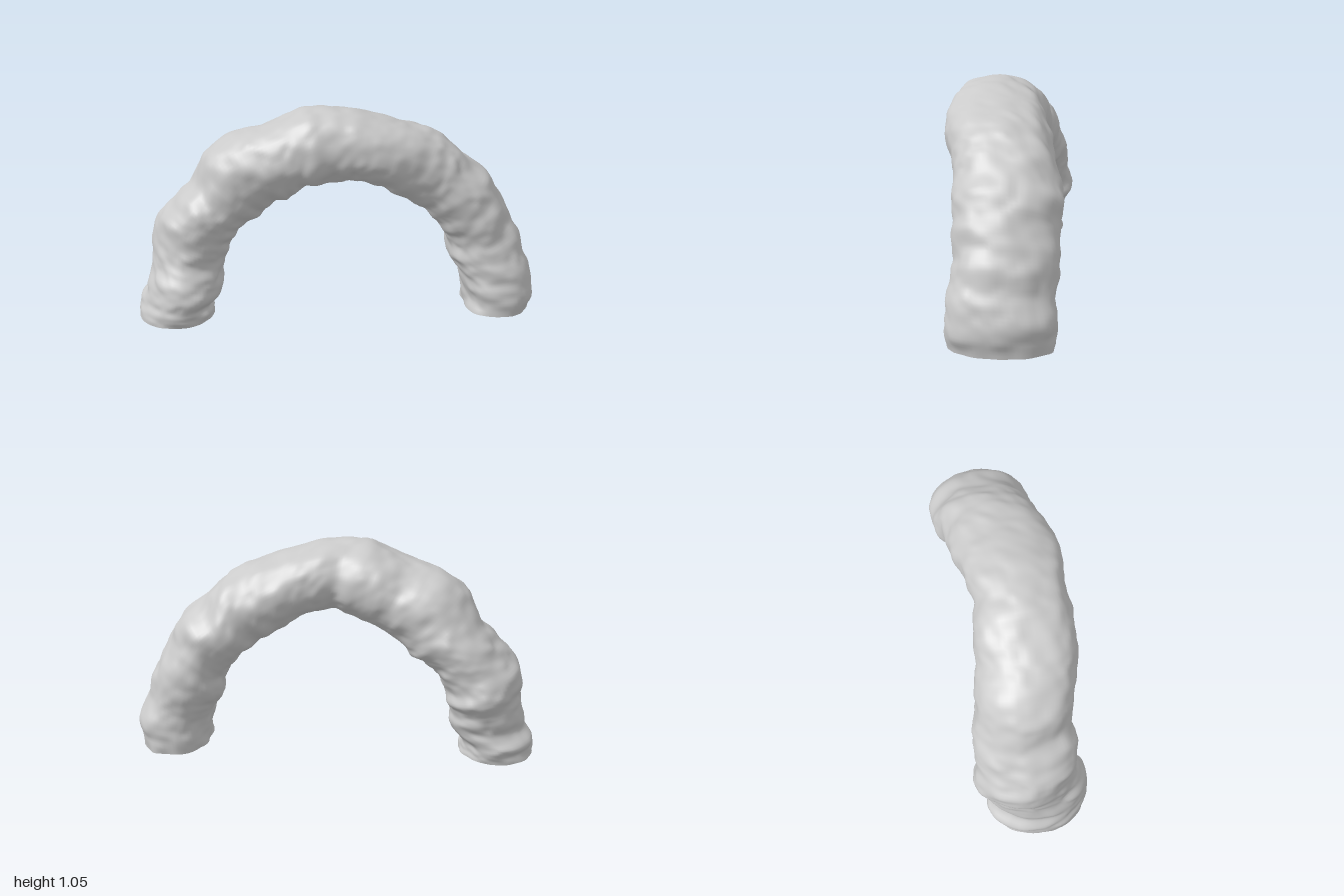
import * as THREE from 'three';

// Stations along the arch: outer x, outer y, inner x, inner y, back z, front z
const STATIONS = [
  [-1.0, 0, -0.635, 0, -0.24, 0.24],
  [-0.985, 0.08, -0.63, 0.06, -0.255, 0.255],
  [-0.95, 0.17, -0.585, 0.14, -0.25, 0.26],
  [-0.93, 0.28, -0.575, 0.21, -0.27, 0.225],
  [-0.92, 0.38, -0.565, 0.28, -0.305, 0.19],
  [-0.885, 0.5, -0.53, 0.36, -0.29, 0.205],
  [-0.8, 0.59, -0.49, 0.43, -0.29, 0.21],
  [-0.71, 0.7, -0.42, 0.48, -0.275, 0.21],
  [-0.635, 0.83, -0.35, 0.54, -0.25, 0.215],
  [-0.49, 0.92, -0.27, 0.595, -0.225, 0.26],
  [-0.35, 0.965, -0.19, 0.645, -0.2, 0.28],
  [-0.21, 1.03, -0.1, 0.675, -0.185, 0.29],
  [-0.05, 1.045, 0, 0.7, -0.16, 0.275],
  [0.11, 1.025, 0.09, 0.69, -0.18, 0.295],
  [0.26, 0.985, 0.18, 0.665, -0.2, 0.295],
  [0.41, 0.935, 0.27, 0.61, -0.22, 0.26],
  [0.54, 0.88, 0.36, 0.56, -0.235, 0.24],
  [0.63, 0.785, 0.43, 0.51, -0.27, 0.23],
  [0.76, 0.675, 0.5, 0.44, -0.265, 0.23],
  [0.83, 0.55, 0.55, 0.36, -0.255, 0.22],
  [0.905, 0.41, 0.57, 0.27, -0.26, 0.215],
  [0.955, 0.27, 0.61, 0.19, -0.25, 0.235],
  [0.995, 0.13, 0.64, 0.1, -0.255, 0.24],
  [0.98, 0, 0.65, 0, -0.24, 0.235],
];
// Corner roundness from foot to foot: outer front, outer back, inner front, inner back
// (1 is an ellipse, less is boxier, more is chamfered)
const CORNERS = [
  [1.05, 1.0, 0.92, 1.1],
  [0.95, 1.15, 0.95, 0.95],
  [0.82, 0.97, 0.9, 0.9],
  [0.95, 1.05, 0.85, 0.9],
  [0.95, 0.85, 0.8, 0.93],
];
const RINGS = 200;
const SIDES = 72;
const { lerp, smoothstep } = THREE.MathUtils;

// Seeded lattice hash and smooth value noise in -1..1
function hash(x, y, z) {
  let h = Math.imul(x, 374761393) ^ Math.imul(y, 668265263) ^ Math.imul(z, 2147483587);
  h = Math.imul(h ^ (h >>> 13), 1274126177);
  return ((h ^ (h >>> 16)) >>> 0) / 2147483648 - 1;
}
function noise(x, y, z) {
  const [i, j, k] = [x, y, z].map(Math.floor);
  const [u, v, w] = [x - i, y - j, z - k].map((f) => f * f * (3 - 2 * f));
  const row = (b, c) => lerp(hash(i, b, c), hash(i + 1, b, c), u);
  const layer = (c) => lerp(row(j, c), row(j + 1, c), v);
  return lerp(layer(k), layer(k + 1), w);
}

// Smooth curve through two columns of a table
function column(table, a, b) {
  return new THREE.CatmullRomCurve3(
    table.map((s) => new THREE.Vector3(s[a], s[b], 0)), false, 'catmullrom', 0.5);
}

// Rounded cross-sections, roughened by ridges running around the body
function buildRings() {
  const outer = column(STATIONS, 0, 1), inner = column(STATIONS, 2, 3), depth = column(STATIONS, 4, 5);
  const outerCorner = column(CORNERS, 0, 1), innerCorner = column(CORNERS, 2, 3);
  const power = (v, e) => Math.sign(v) * Math.pow(Math.abs(v), e);
  const rings = [];
  for (let i = 0; i <= RINGS; i++) {
    const t = i / RINGS;
    const o = outer.getPoint(t), n = inner.getPoint(t), d = depth.getPoint(t);
    const oc = outerCorner.getPoint(t), ic = innerCorner.getPoint(t);
    const centre = o.clone().add(n).multiplyScalar(0.5).setZ((d.x + d.y) / 2);
    const half = o.clone().sub(n).multiplyScalar(0.5);
    const unit = half.clone().normalize();
    const halfDepth = (d.y - d.x) / 2;
    const ring = [];
    for (let j = 0; j < SIDES; j++) {
      const a = (j / SIDES) * Math.PI * 2;
      const c = Math.cos(a), s = Math.sin(a);
      const front = smoothstep(s, -0.5, 0.5);
      const e = lerp(lerp(ic.y, ic.x, front), lerp(oc.y, oc.x, front), smoothstep(c, -0.5, 0.5));
      const bump = 0.012 * noise(t * 40 + 5, c * 0.9 + 9.5, s * 0.9 + 4.5)
        + 0.01 * noise(t * 45 + 31, c * 2.6 + 17, s * 2.6 + 12)
        + 0.004 * noise(t * 80 + 3, c * 5 + 40, s * 5 + 30);
      const p = centre.clone().addScaledVector(half, power(c, e)).addScaledVector(unit, c * bump);
      p.z += halfDepth * power(s, e) + s * bump;
      p.y = Math.max(p.y, 0);
      ring.push(p);
    }
    rings.push(ring);
  }
  return rings;
}

function bodyGeometry(rings) {
  const index = [];
  for (let i = 0; i < RINGS; i++) {
    for (let j = 0; j < SIDES; j++) {
      const k = (j + 1) % SIDES;
      const a = i * SIDES + j, b = i * SIDES + k;
      index.push(a, b, a + SIDES, b, b + SIDES, a + SIDES);
    }
  }
  const geometry = new THREE.BufferGeometry().setFromPoints(rings.flat());
  geometry.setIndex(index);
  geometry.computeVertexNormals();
  return geometry;
}

// Flat underside of a foot
function soleGeometry(ring, flip) {
  const centre = ring.reduce((sum, p) => sum.add(p), new THREE.Vector3()).divideScalar(SIDES);
  const index = [];
  for (let j = 0; j < SIDES; j++) {
    const k = (j + 1) % SIDES;
    index.push(SIDES, flip ? j : k, flip ? k : j);
  }
  const geometry = new THREE.BufferGeometry().setFromPoints([...ring, centre]);
  geometry.setIndex(index);
  geometry.computeVertexNormals();
  return geometry;
}

export function createModel() {
  const group = new THREE.Group();
  group.name = 'rockArch';
  const stone = new THREE.MeshStandardMaterial({ color: 0xcacaca });
  stone.name = 'grey stone';

  const rings = buildRings();
  const add = (name, geometry) => {
    const mesh = new THREE.Mesh(geometry, stone);
    mesh.name = name;
    group.add(mesh);
  };
  add('archBody', bodyGeometry(rings));
  add('rightSole', soleGeometry(rings[0], false));
  add('leftSole', soleGeometry(rings[RINGS], true));
  return group;
}
